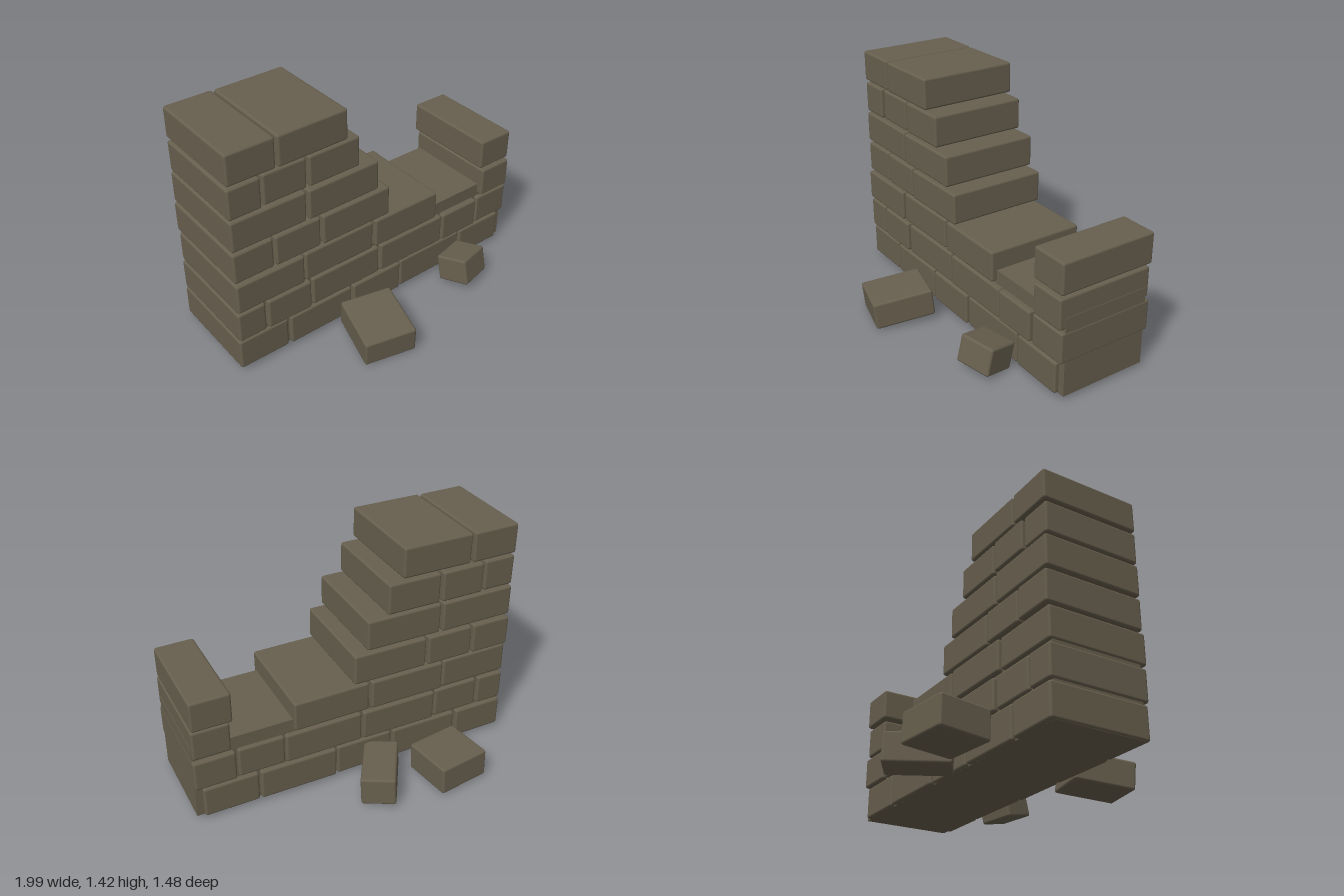
import * as THREE from 'three';
import { RoundedBoxGeometry } from 'three/addons/geometries/RoundedBoxGeometry.js';

export function createModel() {
  const wall = new THREE.Group();
  wall.name = 'ruinedWall';
  const stone = new THREE.MeshStandardMaterial({ color: 0x675f4e });
  stone.name = 'stone';

  const brick = (name, size, position, rotation = [0, 0, 0]) => {
    const mesh = new THREE.Mesh(new RoundedBoxGeometry(...size, 2, 0.014), stone);
    mesh.name = name;
    mesh.position.set(...position);
    mesh.rotation.set(...rotation, 'YXZ');
    wall.add(mesh);
  };

  // Solid core behind the lower courses
  const core = new THREE.Mesh(new THREE.BoxGeometry(1.98, 0.475, 0.54), stone);
  core.name = 'wallCore';
  core.position.set(0.003, 0.2675, -0.025);
  wall.add(core);

  // Courses from the ground up: bottom, top, front, back, then [left, right] of each brick
  const courses = [
    [0.03, 0.222, 0.272, -0.322, [[-0.997, -0.682], [-0.665, -0.24], [-0.225, 0.127], [0.137, 0.61], [0.622, 0.95]]],
    [0.235, 0.422, 0.277, -0.322, [[-0.997, -0.825], [-0.81, -0.525], [-0.51, -0.038], [-0.026, 0.45], [0.457, 0.735], [0.75, 0.995]]],
    [0.438, 0.622, 0.28, -0.322, [[-0.995, -0.567], [-0.555, -0.087], [-0.07, 0.395], [0.77, 0.99]]],
    [0.635, 0.822, 0.277, -0.328, [[-0.995, -0.75], [-0.738, -0.45], [-0.435, 0.025], [0.755, 0.99]]],
    [0.838, 1.024, 0.275, -0.325, [[-0.994, -0.535], [-0.52, -0.055]]],
    [1.036, 1.222, 0.268, -0.322, [[-0.994, -0.8], [-0.785, -0.52], [-0.505, -0.178]]],
    [1.238, 1.422, 0.28, -0.32, [[-0.992, -0.708], [-0.695, -0.265]]],
  ];
  courses.forEach(([bottom, top, front, back, spans], row) => {
    spans.forEach(([left, right], i) => {
      // Small alternating offset so the faces are not perfectly flush
      const shift = ((row + i) % 3 - 1) * 0.004;
      brick(`course${row + 1}Brick${i + 1}`,
        [right - left, top - bottom, front - back],
        [(left + right) / 2, (bottom + top) / 2, (front + back) / 2 + shift],
        [0, 0, ((row + i) % 2 ? 1 : -1) * 0.004]);
    });
  });

  // Fallen bricks lying around the wall
  brick('fallenBrickFrontRight', [0.31, 0.165, 0.36], [-0.245, 0.108, 0.52], [0.09, -0.25, 0.03]);
  brick('fallenBrickFrontLeft', [0.225, 0.165, 0.2], [0.518, 0.11, 0.405], [-0.22, 0.27, -0.06]);
  brick('fallenBrickBackRight', [0.32, 0.175, 0.31], [-0.472, 0.108, -0.57], [0.03, 0.13, -0.02]);
  brick('fallenBrickBackLeft', [0.2, 0.175, 0.37], [-0.055, 0.111, -0.5], [0.02, -0.55, -0.05]);

  return wall;
}
